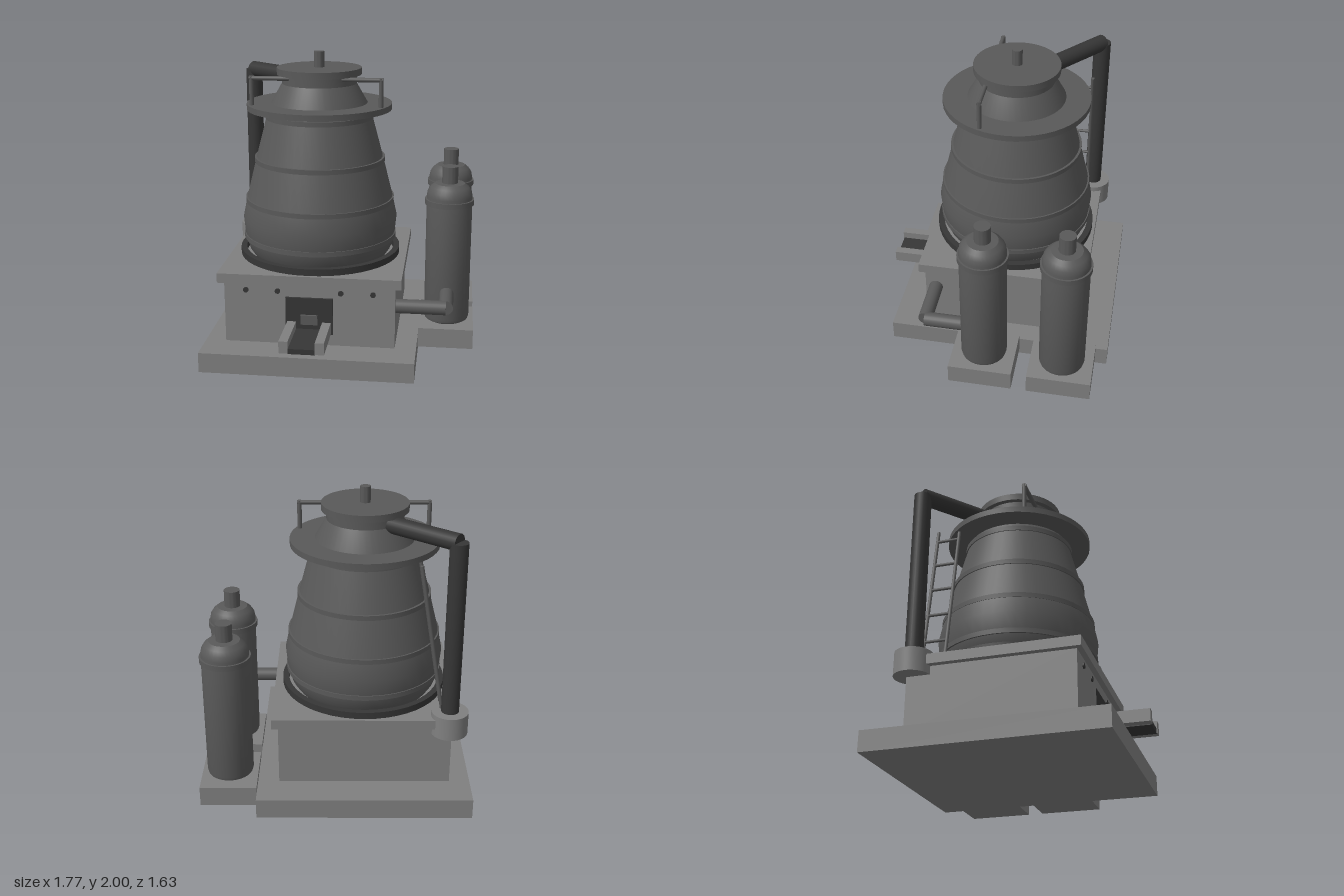
import * as THREE from 'three';
import { toCreasedNormals } from 'three/addons/utils/BufferGeometryUtils.js';

export function createModel() {
  const model = new THREE.Group();
  model.name = 'furnace';
  const material = (name, color) => {
    const m = new THREE.MeshStandardMaterial({ color });
    m.name = name;
    return m;
  };
  const stone = material('concrete grey', 0x808080);
  const steel = material('steel grey', 0x595959);
  const dark = material('dark iron', 0x363636);

  const add = (name, geometry, mat, parent = model) => {
    const mesh = new THREE.Mesh(geometry, mat);
    mesh.name = name;
    parent.add(mesh);
    return mesh;
  };
  // box given by its limits on each axis
  const box = (name, mat, [x0, x1], [y0, y1], [z0, z1]) =>
    add(name, new THREE.BoxGeometry(x1 - x0, y1 - y0, z1 - z0), mat)
      .position.set((x0 + x1) / 2, (y0 + y1) / 2, (z0 + z1) / 2);
  // round bar between two points
  const bar = (name, mat, from, to, r, sides = 24) => {
    const a = new THREE.Vector3(...from), b = new THREE.Vector3(...to);
    const mesh = add(name, new THREE.CylinderGeometry(r, r, a.distanceTo(b), sides), mat);
    mesh.position.copy(a).lerp(b, 0.5);
    mesh.quaternion.setFromUnitVectors(new THREE.Vector3(0, 1, 0), b.sub(a).normalize());
  };
  // turned part from [radius, height] points, listed from the bottom up
  const lathe = (name, mat, points, x, z, sides = 48) => {
    const g = new THREE.LatheGeometry(points.map(p => new THREE.Vector2(...p)), sides);
    add(name, toCreasedNormals(g, Math.PI / 7), mat).position.set(x, 0, z);
  };
  const disc = (name, mat, r, y0, y1, x, z) =>
    lathe(name, mat, [[0, y0], [r, y0], [r, y1], [0, y1]], x, z);

  // foundation
  box('foundation', stone, [-0.885, 0.515], [0, 0.135], [-0.815, 0.695]);
  box('plinth', stone, [-0.75, 0.375], [0.135, 0.56], [-0.595, 0.475]);
  box('plinthSlab', stone, [-0.79, 0.415], [0.555, 0.62], [-0.63, 0.51]);

  // furnace body with hoops, platform and lid
  const cx = -0.187, cz = -0.06;
  lathe('baseRing', dark,
    [[0.51, 0.62], [0.55, 0.62], [0.55, 0.665], [0.51, 0.665], [0.51, 0.62]], cx, cz);
  lathe('furnaceBody', steel, [[0.46, 0.62], [0.49, 0.665], [0.513, 0.74], [0.527, 0.88], [0.502, 1.0],
    [0.432, 1.28], [0.358, 1.56], [0.335, 1.64], [0.25, 1.79], [0.25, 1.86]], cx, cz);
  for (const [r, y] of [[0.523, 0.755], [0.507, 1.005], [0.443, 1.28], [0.365, 1.575]])
    disc('hoop', steel, r, y - 0.016, y + 0.016, cx, cz);
  disc('platform', steel, 0.487, 1.62, 1.66, cx, cz);
  disc('lid', steel, 0.283, 1.85, 1.895, cx, cz);
  disc('lidPin', steel, 0.034, 1.89, 2, cx, cz);

  // handrails either side of the neck
  for (const s of [-1, 1]) {
    const x = cx + s * 0.427;
    bar('handrailPost', steel, [x, 1.65, 0.107], [x, 1.85, 0.107], 0.015, 12);
    bar('handrailBar', steel, [x + s * 0.013, 1.838, 0.107], [cx + s * 0.15, 1.838, 0.107], 0.015, 12);
  }

  // exhaust pipe
  const px = -0.735, pz = -0.56;
  disc('exhaustCollar', stone, 0.12, 0.5, 0.655, px, pz);
  bar('exhaustRiser', dark, [px, 0.6, pz], [px, 1.805, pz], 0.058);
  bar('exhaustArm', dark, [px, 1.803, pz], [-0.33, 1.803, -0.225], 0.055);

  // ladder leaning against the platform
  const ladderX = y => -0.69 + 0.165 * (y - 0.62);
  const ladderZ = [-0.525, -0.375];
  for (const z of ladderZ)
    bar('ladderRail', steel, [ladderX(0.62), 0.62, z], [ladderX(1.64), 1.64, z], 0.012, 8);
  for (let y = 0.76; y < 1.65; y += 0.2)
    bar('ladderRung', steel, [ladderX(y), y, ladderZ[0]], [ladderX(y), y, ladderZ[1]], 0.01, 8);

  // firebox door and pouring trough
  box('fireboxDoor', dark, [-0.342, -0.03], [0.215, 0.465], [0.47, 0.49]);
  box('doorLatch', steel, [-0.242, -0.13], [0.285, 0.35], [0.48, 0.505]);
  for (const s of [-1, 1])
    box('troughWall', stone, [cx + s * 0.115 - 0.029, cx + s * 0.115 + 0.029], [0.22, 0.3], [0.49, 0.815]);
  box('troughFloor', dark, [-0.275, -0.1], [0.215, 0.25], [0.48, 0.81]);

  // knobs on the front of the plinth
  for (const dx of [-0.418, -0.208, 0.208, 0.418])
    bar('knob', dark, [cx + dx, 0.503, 0.46], [cx + dx, 0.503, 0.484], 0.018, 16);

  // gas tanks on their pads
  const tx = 0.7;
  for (const z of [0.004, -0.522]) {
    box('tankPad', stone, [0.515, 0.885], [0.04, 0.175], [z - 0.212, z + 0.212]);
    lathe('gasTank', steel, [[0, 0.175], [0.125, 0.175], [0.147, 0.188], [0.153, 0.21], [0.153, 1.055],
      [0.147, 1.09], [0.128, 1.12], [0.1, 1.143], [0, 1.148]], tx, z, 32);
    disc('tankHoop', steel, 0.164, 1.0, 1.037, tx, z);
    disc('tankValve', steel, 0.053, 1.14, 1.258, tx, z);
  }

  // gas feed from the front tank to the plinth
  bar('feedPipe', steel, [0.36, 0.405, 0.403], [tx, 0.405, 0.403], 0.047);
  bar('feedPipe', steel, [tx, 0.405, 0.403], [tx, 0.405, 0.05], 0.047);

  return model;
}
